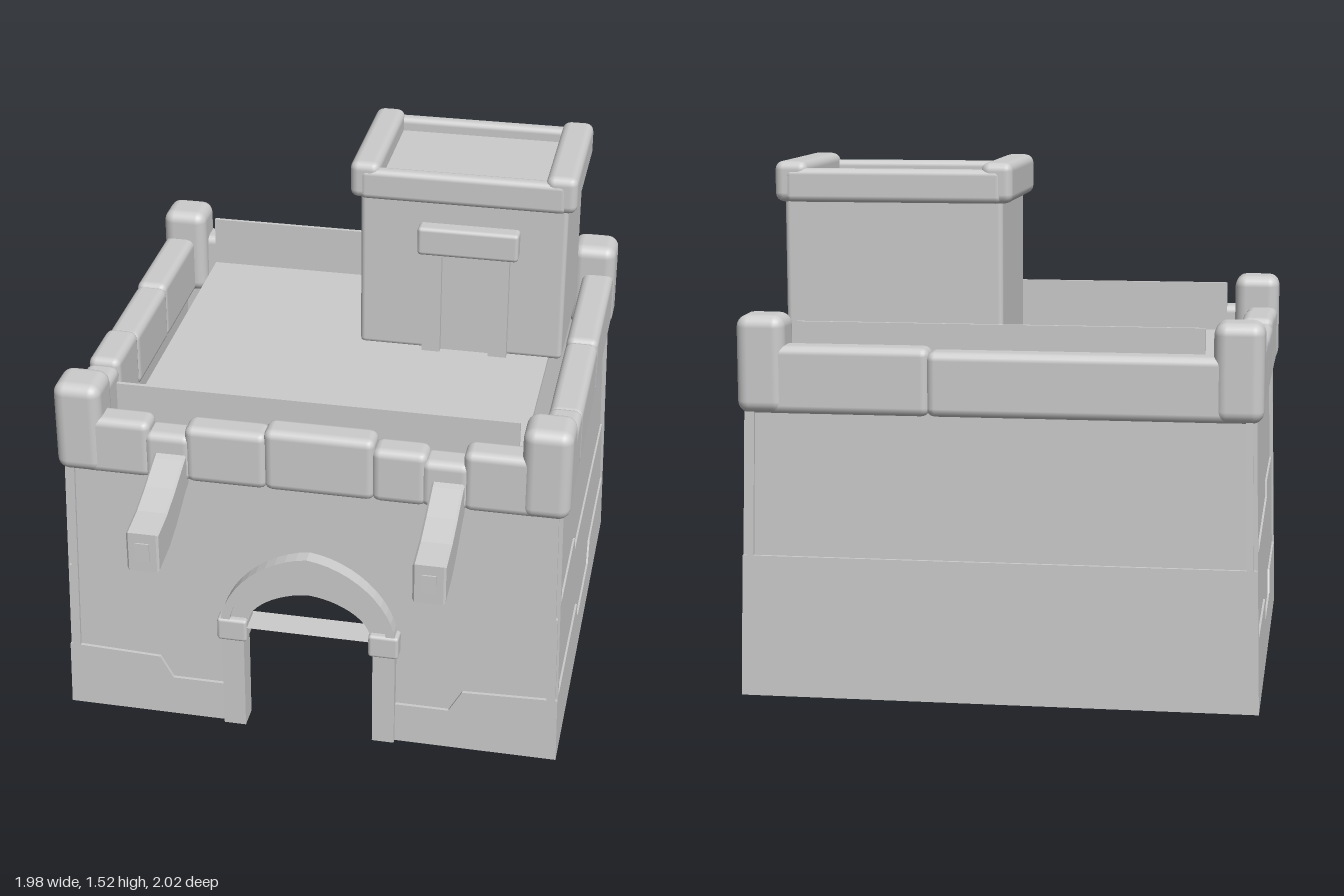
import * as THREE from 'three';
import { RoundedBoxGeometry } from 'three/addons/geometries/RoundedBoxGeometry.js';

const HU = 0.742, HV = 0.668; // half width and half depth of the keep at ground level

export function createModel() {
  const stone = new THREE.MeshStandardMaterial({ color: 0xcccccc, side: THREE.DoubleSide });
  stone.name = 'grey stone';
  const castle = new THREE.Group();
  castle.name = 'castle';

  const add = (name, geo, parent = castle) => {
    const m = new THREE.Mesh(geo, stone);
    m.name = name;
    parent.add(m);
    return m;
  };
  // box given by its min and max corners, optionally rounded
  const box = (name, x0, x1, y0, y1, z0, z1, r = 0, parent = castle) => {
    const s = [x1 - x0, y1 - y0, z1 - z0];
    const m = add(name, r ? new RoundedBoxGeometry(...s, 2, r) : new THREE.BoxGeometry(...s), parent);
    m.position.set((x0 + x1) / 2, (y0 + y1) / 2, (z0 + z1) / 2);
    return m;
  };
  const outline = (pts) => new THREE.Shape(pts.map((p) => new THREE.Vector2(...p)));
  // upright slab on one side of the keep, leaning inward with height
  const slab = (name, shape, depth, half, inset, turn) => {
    const g = new THREE.ExtrudeGeometry(shape, { depth, bevelEnabled: false, curveSegments: 10 });
    g.translate(0, 0, half - inset - depth);
    g.rotateY(turn);
    const p = g.attributes.position;
    for (let i = 0; i < p.count; i++) {
      const k = 1 - 0.03 * p.getY(i);
      p.setX(i, p.getX(i) * k);
      p.setZ(i, p.getZ(i) * k);
    }
    g.computeVertexNormals();
    return add(name, g);
  };
  // pointed arch curve over a rectangular opening
  const archPath = (path, w, spring, top, base) => {
    const h = top - spring;
    path.moveTo(-w, base);
    path.lineTo(-w, spring);
    path.bezierCurveTo(-w * 0.95, spring + h * 0.5, -w * 0.5, top - h * 0.06, 0, top);
    path.bezierCurveTo(w * 0.5, top - h * 0.06, w * 0.95, spring + h * 0.5, w, spring);
    path.lineTo(w, base);
    return path;
  };

  // front wall with the gateway cut out of its lower edge
  const front = archPath(new THREE.Shape(), 0.2, 0.34, 0.5, 0);
  [[HU, 0], [HU, 0.86], [-HU, 0.86], [-HU, 0], [-0.2, 0]].forEach((p) => front.lineTo(...p));
  slab('frontWall', front, 0.02, HV, 0.01, 0);
  for (const s of [-1, 1]) {
    slab('frontPlinth', outline([[0.22, 0], [HU, 0], [HU, 0.21], [0.46, 0.2], [0.42, 0.13], [0.22, 0.13]]
      .map(([x, y]) => [s * x, y])), 0.012, HV, 0, 0);
  }

  // back wall and its lower course
  const rect = (w, h) => outline([[-w, 0], [w, 0], [w, h], [-w, h]]);
  slab('backWall', rect(HU, 0.86), 0.02, HV, 0.01, Math.PI);
  slab('backCourse', rect(HU, 0.41), 0.012, HV, 0, Math.PI);

  // side walls, each with a stepped course and a notched plinth
  for (const s of [-1, 1]) {
    const turn = s * Math.PI / 2;
    slab('sideWall', rect(HV, 0.86), 0.02, HU, 0.012, turn);
    slab('sideCourse', outline([[-HV, 0], [HV, 0], [HV, 0.49], [0.22, 0.49], [0.21, 0.44], [-HV, 0.41]]
      .map(([x, y]) => [-s * x, y])), 0.01, HU, 0.006, turn);
    slab('sidePlinth', outline([[-HV, 0], [HV, 0], [HV, 0.2], [0.24, 0.2], [0.2, 0.13],
      [-0.11, 0.13], [-0.14, 0.2], [-HV, 0.21]]), 0.01, HU, 0, turn);
  }

  // gateway surround
  const arch = (name, w0, t0, w1, t1, z0, z1) => {
    const shape = archPath(new THREE.Shape(), w1, 0.37, t1, 0.36);
    const hole = archPath(new THREE.Path(), w0, 0.37, t0, 0.3601);
    shape.holes.push(hole);
    const g = new THREE.ExtrudeGeometry(shape, { depth: z1 - z0, bevelEnabled: false, curveSegments: 12 });
    g.translate(0, 0, z0);
    add(name, g);
  };
  arch('gateArch', 0.185, 0.49, 0.25, 0.6, 0.6, 0.675);
  arch('gateArchRib', 0.235, 0.59, 0.262, 0.62, 0.61, 0.69);
  for (const s of [-1, 1]) {
    const x = s * 0.226;
    box('gateJamb', x - 0.033, x + 0.033, 0, 0.32, 0.61, 0.682);
    box('gateCapital', x - 0.045, x + 0.045, 0.31, 0.385, 0.6, 0.695, 0.01);
  }

  // parapet stones: [start, end, top]
  const alongX = (z0, z1, list) => list.forEach(([a, b, t]) =>
    box('parapetStone', a, b, 0.82, t, z0, z1, 0.025));
  const alongZ = (x0, x1, list) => list.forEach(([a, b, t]) =>
    box('parapetStone', x0, x1, 0.82, t, a, b, 0.025));
  alongX(0.57, 0.662, [[-0.67, -0.46, 1], [-0.48, -0.34, 0.97], [-0.36, -0.12, 1], [-0.13, 0.19, 1.015],
    [0.18, 0.34, 0.99], [0.32, 0.46, 0.97], [0.44, 0.67, 1.01]]);
  alongX(-0.662, -0.57, [[-0.67, 0.2, 1.005], [0.19, 0.67, 1.015]]);
  alongZ(-0.738, -0.64, [[-0.6, -0.18, 1.01], [-0.2, 0.14, 1], [0.13, 0.34, 1.015], [0.33, 0.6, 1]]);
  alongZ(0.64, 0.738, [[-0.6, -0.07, 1.01], [-0.08, 0.36, 1.005], [0.35, 0.6, 1.015]]);

  // corner posts
  for (const x of [-1, 1]) for (const z of [-1, 1]) {
    const p = add('cornerPost', new RoundedBoxGeometry(0.14, 0.28, 0.14, 3, 0.035));
    p.position.set(x * 0.672, 0.96, z * 0.598);
  }

  // roof deck with upturned front and back panels, open along the sides
  box('roofDeck', -0.575, 0.585, 0.905, 0.92, -0.575, 0.575);
  for (const s of [-1, 1]) box('deckPanel', -0.575, 0.585, 0.905, 1.075, s * 0.57 - 0.006, s * 0.57 + 0.006);

  // sagging beams through the front parapet
  for (const s of [-1, 1]) {
    const side = outline([[0.57, 0.83], [0.68, 0.8], [0.78, 0.755], [0.86, 0.73], [0.965, 0.72],
      [0.965, 0.83], [0.87, 0.84], [0.78, 0.865], [0.68, 0.9], [0.57, 0.93]]);
    const g = new THREE.ExtrudeGeometry(side, { depth: 0.08, bevelEnabled: true, bevelSize: 0.006, bevelThickness: 0.006, bevelSegments: 1 });
    g.translate(0, 0, -0.04);
    g.rotateY(-Math.PI / 2);
    add('beam', g).position.x = s * 0.4;
    box('beamPeg', s * 0.4 - 0.02, s * 0.4 + 0.02, 0.75, 0.805, 0.968, 0.975);
  }

  // tower on the deck
  const tower = new THREE.Group();
  tower.name = 'tower';
  castle.add(tower);
  box('towerBody', 0, 0.625, 0.915, 1.43, -0.525, -0.11, 0.015, tower);
  box('towerTop', -0.01, 0.635, 1.41, 1.465, -0.53, -0.1, 0.01, tower);
  for (const [a, b] of [[-0.03, 0.06], [0.555, 0.65]])
    box('towerRimSide', a, b, 1.41, 1.525, -0.548, -0.085, 0.025, tower);
  for (const [a, b] of [[-0.55, -0.505], [-0.128, -0.083]])
    box('towerRimRail', 0, 0.62, 1.41, 1.505, a, b, 0.018, tower);

  // tower doorway
  box('doorLintel', 0.18, 0.485, 1.25, 1.34, -0.14, -0.065, 0.012, tower);
  for (const x of [0.225, 0.43]) box('doorJamb', x - 0.028, x + 0.028, 0.92, 1.26, -0.13, -0.085, 0, tower);
  box('doorPanel', 0.25, 0.4, 0.92, 1.25, -0.112, -0.105, 0, tower);

  // the keep stands turned on its base
  castle.rotation.y = THREE.MathUtils.degToRad(34.9);
  castle.position.set(-0.005, 0, -0.035);
  const model = new THREE.Group();
  model.name = 'model';
  model.add(castle);
  return model;
}
